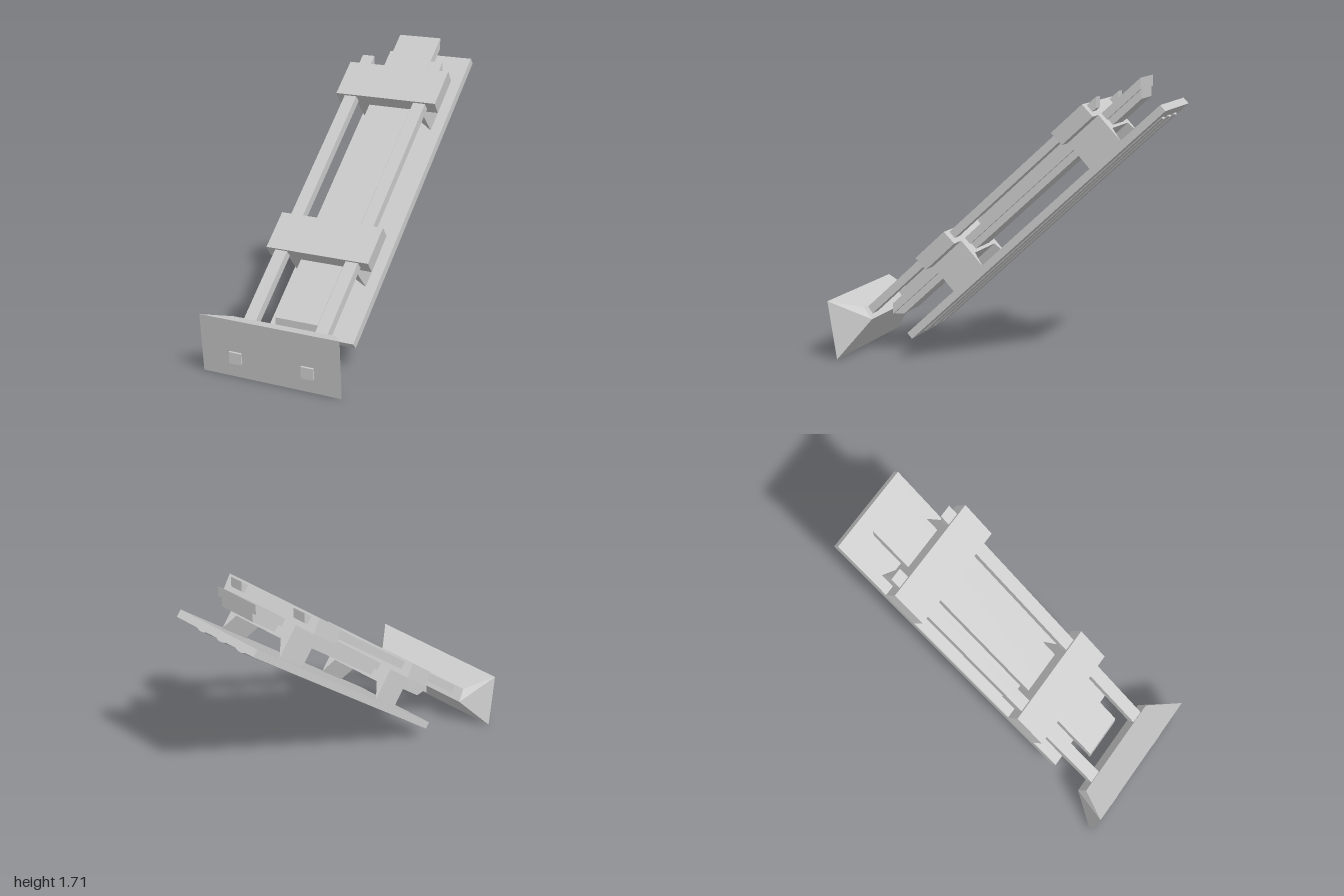
import * as THREE from 'three';
import { ConvexGeometry } from 'three/addons/geometries/ConvexGeometry.js';

const material = new THREE.MeshStandardMaterial({ color: 0xcccccc, flatShading: true });

function part(name, geometry) {
  const mesh = new THREE.Mesh(geometry, material);
  mesh.name = name;
  return mesh;
}

function extrude(points, depth) {
  const shape = new THREE.Shape(points.map(([a, b]) => new THREE.Vector2(a, b)));
  return new THREE.ExtrudeGeometry(shape, { depth, bevelEnabled: false });
}

// Side profile of [z, y] points, extruded from x0 to x1
function sidePiece(name, points, x0, x1) {
  return part(name, extrude(points, x1 - x0).rotateY(-Math.PI / 2).translate(x1, 0, 0));
}

export function createModel() {
  const model = new THREE.Group();
  model.name = 'slopedRailAssembly';

  // Tapered foot block
  const corners = [
    [-0.45, 0.355, 1.0], [0.46, 0.355, 1.0], [-0.46, 0, 0.95], [0.445, 0, 0.95],
    [-0.335, 0.305, 0.82], [0.335, 0.305, 0.82], [-0.345, 0.235, 0.77], [0.33, 0.235, 0.77],
  ];
  model.add(part('footBlock', new ConvexGeometry(corners.map((c) => new THREE.Vector3(...c)))));

  // Two rods that pass through the foot block, with upright end cuts
  const rodProfile = [[-0.6, 1.6], [-0.6, 1.535], [0.978, 0.085], [0.978, 0.152]];
  for (const [name, x] of [['rightRod', -0.23], ['leftRod', 0.24]]) {
    model.add(sidePiece(name, rodProfile, x - 0.04, x + 0.04));
  }

  // Central bar with a narrower rail beneath it
  model.add(sidePiece('centralBar',
    [[0.71, 0.3], [0.71, 0.235], [-0.825, 1.64], [-0.825, 1.705]], -0.125, 0.155));
  model.add(sidePiece('barRail',
    [[0.71, 0.235], [0.645, 0.238], [-0.825, 1.583], [-0.825, 1.64]], -0.1, 0.13));

  // Sloped frame: local y is the slope normal, -z runs up the slope
  const slope = new THREE.Group();
  slope.name = 'slopedFrame';
  slope.position.set(0, 0.16, 0.555);
  slope.rotation.x = 0.743;
  model.add(slope);

  // Base board
  const length = 2.077;
  slope.add(part('board', new THREE.BoxGeometry(0.57, 0.045, length)
    .translate(0.013, -0.0225, -length / 2)));

  // Shallow rounded ribs under the board
  for (const offset of [-0.145, 0, 0.145]) {
    const rib = new THREE.CylinderGeometry(1, 1, 1.96, 12).rotateX(Math.PI / 2);
    rib.scale(0.036, 0.013, 1).translate(0.013 + offset, -0.045, -1.03);
    slope.add(part('boardRib', rib));
  }

  // Clamps: wide crossbeam with two pointed legs standing on the board
  const clampProfile = [
    [-0.325, 0.292], [-0.335, 0.2], [-0.205, 0.2], [-0.205, 0], [-0.155, 0.098],
    [0.18, 0.098], [0.228, 0], [0.228, 0.2], [0.34, 0.2], [0.35, 0.292],
  ];
  for (const [name, start] of [['lowerClamp', 0.375], ['upperClamp', 1.508]]) {
    slope.add(part(name, extrude(clampProfile, 0.245).translate(0, 0, -start - 0.245)));
  }

  return model;
}
